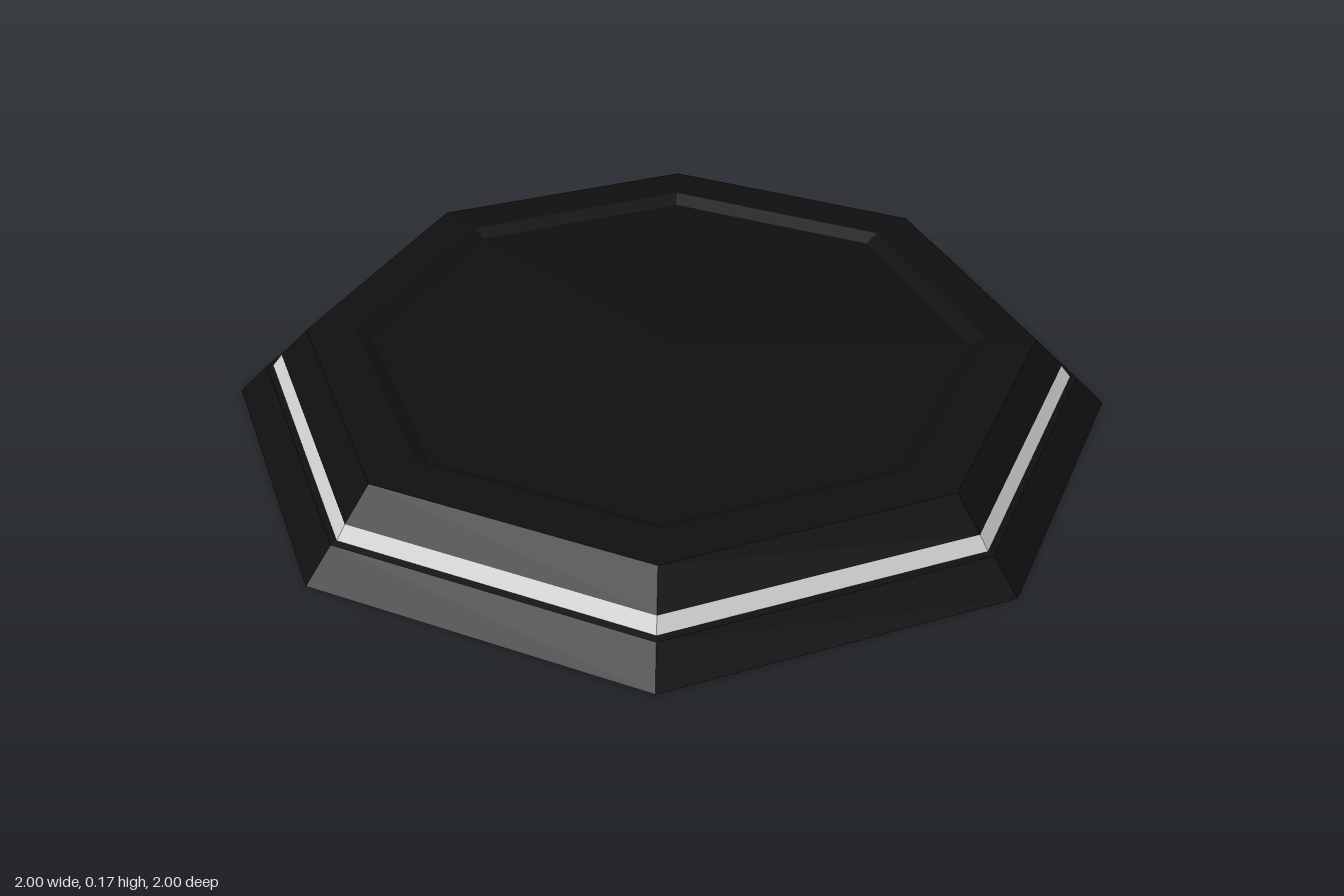
import * as THREE from 'three';

const SIDES = 8;

// Eight-sided shell swept from a list of [radius, height] points
function shell(name, profile, color) {
  const points = profile.map(([r, y]) => new THREE.Vector2(r, y));
  const material = new THREE.MeshStandardMaterial({ color, flatShading: true, side: THREE.DoubleSide });
  const mesh = new THREE.Mesh(new THREE.LatheGeometry(points, SIDES), material);
  mesh.name = name;
  return mesh;
}

export function createModel() {
  const group = new THREE.Group();
  group.name = 'octagonalPlate';

  const dark = 0x0f0f0f;
  const light = 0xcccccc;

  // Sloped skirt with a narrow ledge, open underneath
  group.add(shell('lowerSkirt', [[1, 0], [0.933, 0.068], [0.918, 0.071]], dark));

  // Pale band between the two tiers
  group.add(shell('lightBand', [[0.918, 0.071], [0.895, 0.1]], light));

  // Upper bevel, flat rim and shallow recessed panel
  group.add(shell('upperPlate', [
    [0.895, 0.1], [0.83, 0.167], [0.715, 0.167], [0.68, 0.15], [0, 0.15],
  ], dark));

  return group;
}
